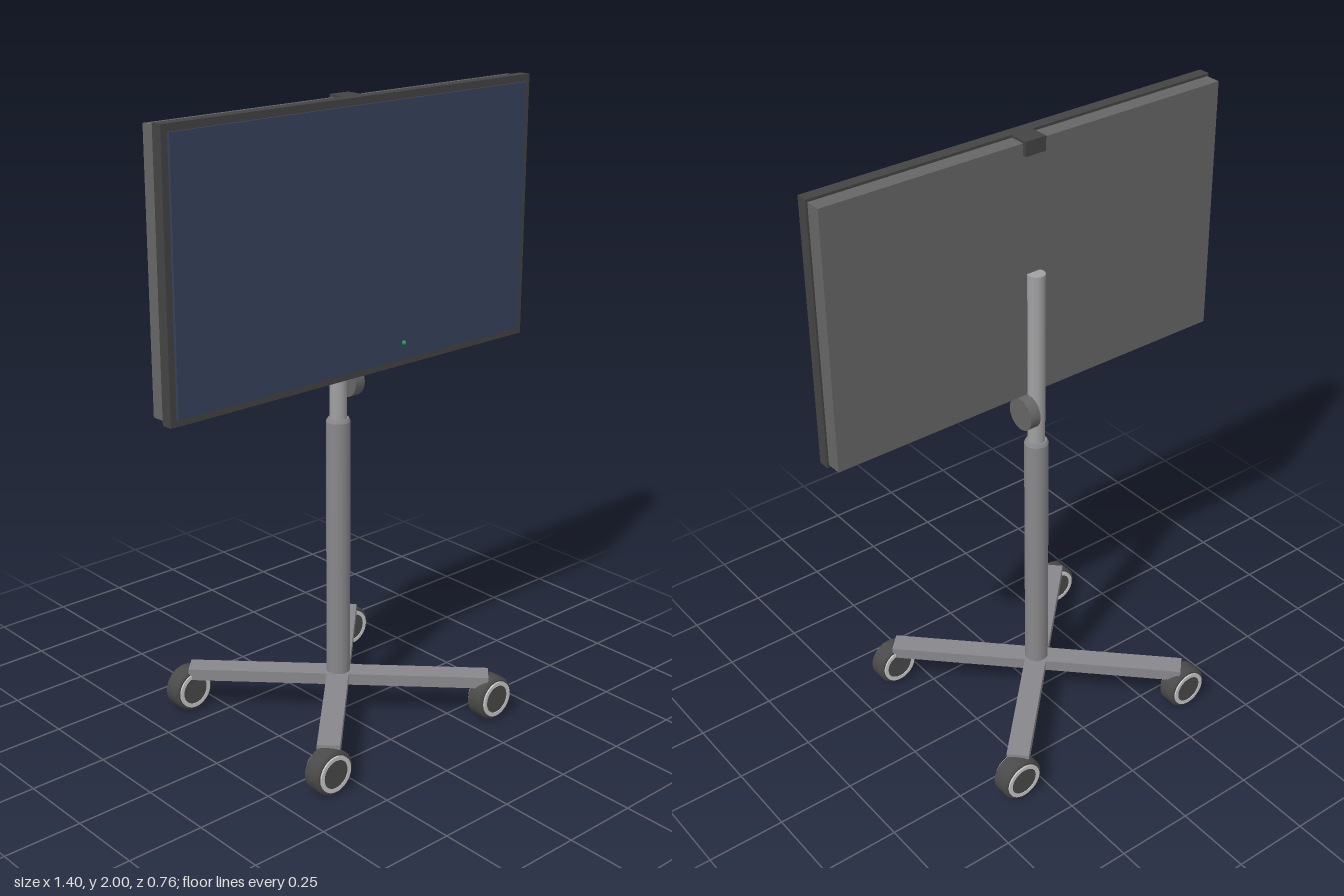
import * as THREE from 'three';

const mat = (color, extra = {}) => new THREE.MeshStandardMaterial({ color, ...extra });
const frameMat = mat(0x444444);
const backMat = mat(0x666666);
const screenMat = mat(0x36435c);
const steelMat = mat(0x88888c);
const lightMat = mat(0xcccccc);
const rubberMat = mat(0x4a4a4a);
const ledMat = mat(0x22aa44);

export function createModel() {
  const model = new THREE.Group();
  model.name = 'displayOnStand';

  const add = (name, geometry, material, x, y, z, parent = model) => {
    const mesh = new THREE.Mesh(geometry, material);
    mesh.name = name;
    mesh.position.set(x, y, z);
    parent.add(mesh);
    return mesh;
  };
  // Box given by its lower and upper corners
  const box = (name, material, [x0, y0, z0], [x1, y1, z1], parent) =>
    add(name, new THREE.BoxGeometry(x1 - x0, y1 - y0, z1 - z0), material,
      (x0 + x1) / 2, (y0 + y1) / 2, (z0 + z1) / 2, parent);
  // Lathe with hard corners: each profile segment gets its own normals
  const lathe = (points, segments = 32) =>
    new THREE.LatheGeometry(points.flatMap(([r, y], i) => {
      const p = new THREE.Vector2(r, y);
      return i > 0 && i < points.length - 1 ? [p, p.clone()] : [p];
    }), segments);

  // Display
  const display = new THREE.Group();
  display.name = 'display';
  model.add(display);
  box('bezel', frameMat, [-0.7, 1.168, 0.063], [0.7, 2, 0.1], display);
  box('backHousing', backMat, [-0.694, 1.178, 0.013], [0.694, 1.992, 0.064], display);
  box('screen', screenMat, [-0.679, 1.19, 0.098], [0.679, 1.978, 0.108], display);
  box('cameraMount', frameMat, [-0.036, 1.955, 0.002], [0.036, 2, 0.066], display);
  add('statusLight', new THREE.SphereGeometry(0.007, 12, 8), ledMat, 0.17, 1.242, 0.109, display);

  // Telescopic column
  add('lowerColumn', lathe([[0, 0.13], [0.038, 0.13], [0.038, 1.002], [0.033, 1.012], [0, 1.012]]),
    steelMat, 0, 0, 0);
  add('upperColumn', new THREE.CylinderGeometry(0.027, 0.027, 0.59, 32), mat(0xa0a0a2), 0, 1.29, 0);
  const knob = add('heightKnob', new THREE.CylinderGeometry(0.053, 0.053, 0.036, 32), backMat, 0.043, 1.127, 0);
  knob.rotation.z = Math.PI / 2;

  // Crossed base legs
  for (const s of [-1, 1]) {
    const leg = add('baseLeg', new THREE.BoxGeometry(0.966, 0.038, 0.07), steelMat, 0, 0.132, 0);
    leg.rotation.y = s * Math.PI / 4;
  }

  // Casters
  const tyre = lathe([[0.054, -0.031], [0.064, -0.031], [0.071, -0.025],
    [0.071, 0.025], [0.064, 0.031], [0.054, 0.031]]);
  const ring = lathe([[0.046, -0.036], [0.059, -0.036], [0.059, 0.036], [0.046, 0.036], [0.046, -0.036]]);
  const hub = new THREE.CylinderGeometry(0.047, 0.047, 0.068, 32);
  for (const sx of [-1, 1]) {
    for (const sz of [-1, 1]) {
      const caster = new THREE.Group();
      caster.name = 'caster';
      caster.position.set(sx * 0.345, 0.071, sz * 0.345);
      caster.rotation.x = Math.PI / 2;
      add('tyre', tyre, rubberMat, 0, 0, 0, caster);
      add('wheelRing', ring, lightMat, 0, 0, 0, caster);
      add('wheelHub', hub, rubberMat, 0, 0, 0, caster);
      model.add(caster);
    }
  }
  return model;
}
